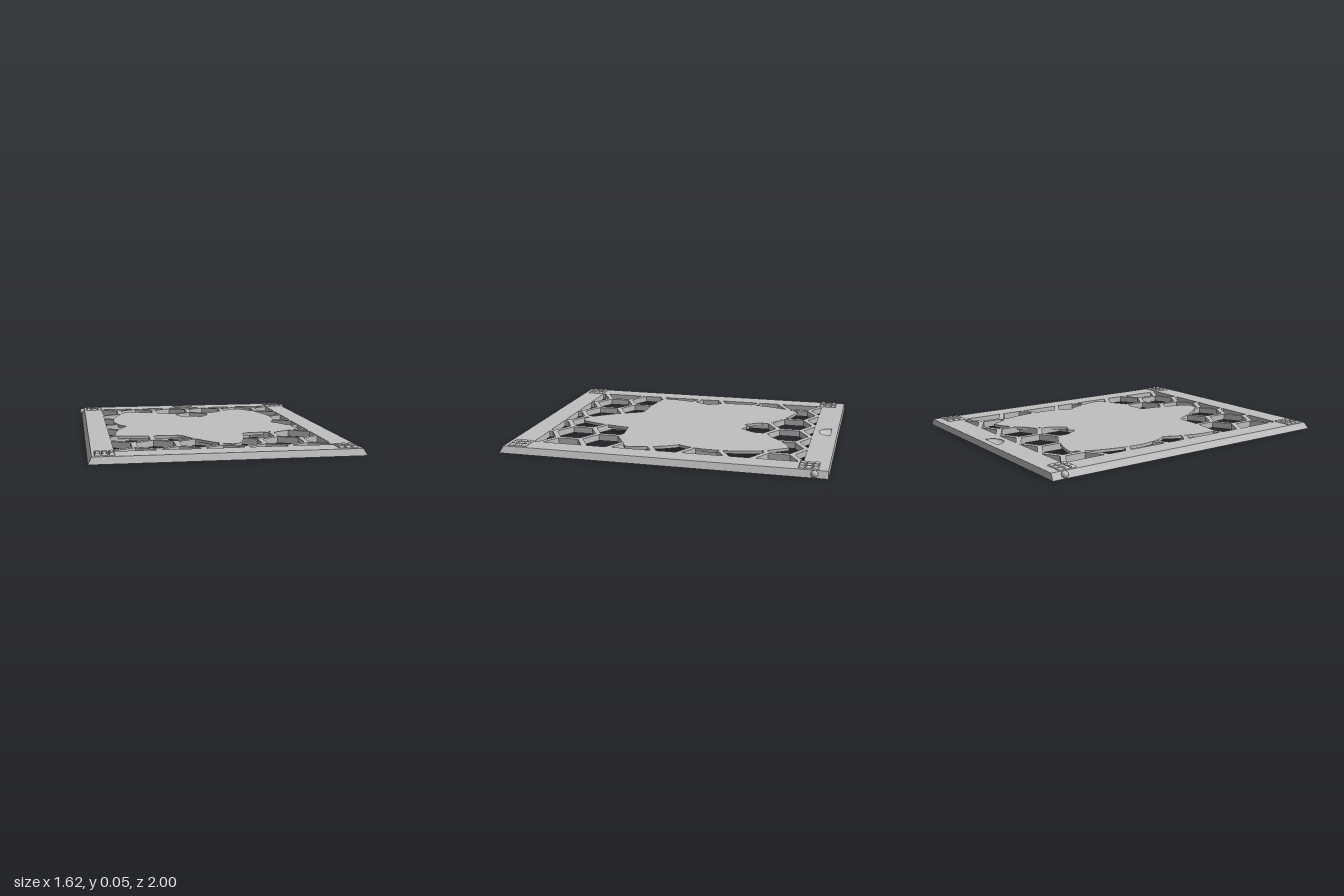
import * as THREE from 'three';

const H = 0.04; // panel height

export function createModel() {
  const root = new THREE.Group();
  root.name = 'slidingLid';
  const grey = new THREE.MeshStandardMaterial({ color: 0xc0c0c0, side: THREE.DoubleSide });
  grey.name = 'grey plastic';

  const add = (name, geometry, x = 0, y = 0, z = 0, parent = root) => {
    const mesh = new THREE.Mesh(geometry, grey);
    mesh.name = name;
    mesh.position.set(x, y, z);
    parent.add(mesh);
    return mesh;
  };
  // Flat plan shapes use (x, -z) and are raised along y
  const raise = (shape, depth) =>
    new THREE.ExtrudeGeometry(shape, { depth, bevelEnabled: false, curveSegments: 10 }).rotateX(-Math.PI / 2);
  const rect = (Type, x0, x1, z0, z1) => new Type([
    new THREE.Vector2(x0, -z0), new THREE.Vector2(x1, -z0),
    new THREE.Vector2(x1, -z1), new THREE.Vector2(x0, -z1)]);

  // Frame with a window and a finger notch; outer top edges lean inward
  const notch = { x: -0.005, z: -0.955, r: 0.077 };
  const outline = rect(THREE.Shape, -0.795, 0.795, -1, 1);
  const notchHole = new THREE.Path();
  notchHole.absarc(notch.x, -notch.z, notch.r, Math.PI, Math.PI * 2, false);
  notchHole.closePath();
  outline.holes.push(rect(THREE.Path, -0.643, 0.64, -0.843, 0.835), notchHole);
  const frame = raise(outline, H);
  const p = frame.attributes.position;
  for (let i = 0; i < p.count; i++) {
    if (p.getY(i) < H / 2) continue;
    if (Math.abs(p.getX(i)) > 0.79) p.setX(i, Math.sign(p.getX(i)) * 0.773);
    if (p.getZ(i) > 0.99) p.setZ(i, 0.983);
    if (p.getZ(i) < -0.99) p.setZ(i, -0.997);
  }
  frame.computeVertexNormals();
  add('frame', frame);

  // Scooped finger notch and its underside
  const scoop = new THREE.SphereGeometry(1, 20, 8, Math.PI, -Math.PI, Math.PI / 2, Math.PI / 2);
  scoop.scale(notch.r, 0.028, notch.r);
  add('notchScoop', scoop, notch.x, H, notch.z);
  const cap = new THREE.Shape();
  cap.absarc(notch.x, -notch.z, notch.r, Math.PI, Math.PI * 2, false);
  add('notchFloor', raise(cap, 0.008));

  // Honeycomb ribs
  const honeycomb = new THREE.Group();
  honeycomb.name = 'honeycomb';
  root.add(honeycomb);
  const pitch = 0.258, side = pitch / Math.sqrt(3), rowStep = side * 1.5, ribW = 0.032, ribH = H - 0.0005;
  const inside = (x, z) => Math.abs(x) < 0.645 && z > -0.845 && z < 0.836;
  const rib = (x0, z0, x1, z1) => {
    if (!inside(x0, z0) && !inside(x1, z1)) return;
    const length = Math.hypot(x1 - x0, z1 - z0) + ribW * 0.5;
    const mesh = add('rib', new THREE.BoxGeometry(ribW, ribH, length),
      (x0 + x1) / 2, ribH / 2, (z0 + z1) / 2, honeycomb);
    mesh.rotation.y = Math.atan2(x1 - x0, z1 - z0);
  };
  for (let row = -1; row <= 7; row++) {
    const z = -0.688 + row * rowStep;
    const shift = row % 2 ? pitch / 2 : 0;
    for (let col = -3; col <= 3; col++) {
      const x = col * pitch + shift;
      const low = z + side / 2;
      // Upright rib, limited so its end stays within the frame
      rib(x, Math.max(z - side / 2, -0.9), x, Math.min(low, 0.9));
      rib(x, low, x - pitch / 2, low + side / 2);
      rib(x, low, x + pitch / 2, low + side / 2);
    }
  }

  // Winged plate, as smooth runs between sharp corners
  const runs = [
    [[-0.11, -0.47], [-0.12, -0.52], [-0.26, -0.62], [-0.37, -0.665], [-0.465, -0.685]],
    [[-0.495, -0.635], [-0.548, -0.5], [-0.58, -0.34], [-0.585, -0.23], [-0.56, -0.11], [-0.515, -0.025]],
    [[-0.56, 0.07], [-0.595, 0.2], [-0.605, 0.34]],
    [[-0.57, 0.345], [-0.4, 0.37], [-0.22, 0.375]],
    [[-0.19, 0.4], [-0.13, 0.515], [-0.035, 0.65], [0.03, 0.705], [0.07, 0.72], [0.11, 0.695],
      [0.15, 0.6], [0.18, 0.475], [0.2, 0.36]],
    [[0.35, 0.345], [0.43, 0.335], [0.515, 0.295], [0.6, 0.255]],
    [[0.59, 0.16], [0.54, 0.02], [0.49, -0.063]],
    [[0.52, -0.13], [0.542, -0.24], [0.537, -0.4], [0.5, -0.555], [0.45, -0.65], [0.395, -0.73]],
    [[0.32, -0.7], [0.24, -0.64], [0.16, -0.56], [0.115, -0.51], [0.11, -0.465], [0.05, -0.375]],
    [[0.02, -0.4], [0, -0.395], [-0.02, -0.415], [-0.05, -0.375]],
  ];
  const wings = new THREE.Shape();
  wings.moveTo(-0.05, 0.375);
  for (const run of runs) wings.splineThru(run.map(([x, z]) => new THREE.Vector2(x, -z)));
  add('wingedPlate', raise(wings, 0.018), 0, H - 0.018);

  // Square domed grip studs, three by three in each corner
  const dome = new THREE.LatheGeometry(
    [[0.025, 0], [0.023, 0.005], [0.016, 0.0095], [0.007, 0.012], [0, 0.0125]]
      .map(([r, y]) => new THREE.Vector2(r, y)), 4).rotateY(Math.PI / 4).toNonIndexed();
  dome.computeVertexNormals();
  for (const cx of [-0.7, 0.697]) {
    for (const cz of [-0.883, 0.897]) {
      const grip = new THREE.Group();
      grip.name = 'cornerGrip';
      grip.position.set(cx, H, cz);
      root.add(grip);
      for (let i = 0; i < 9; i++)
        add('stud', dome, ((i % 3) - 1) * 0.04, 0, (Math.floor(i / 3) - 1) * 0.04, grip);
    }
  }

  // Round catches on both sides
  for (const s of [-1, 1]) add('catch', new THREE.SphereGeometry(0.021, 20, 14), s * 0.787, 0.022, -0.92);

  return root;
}
